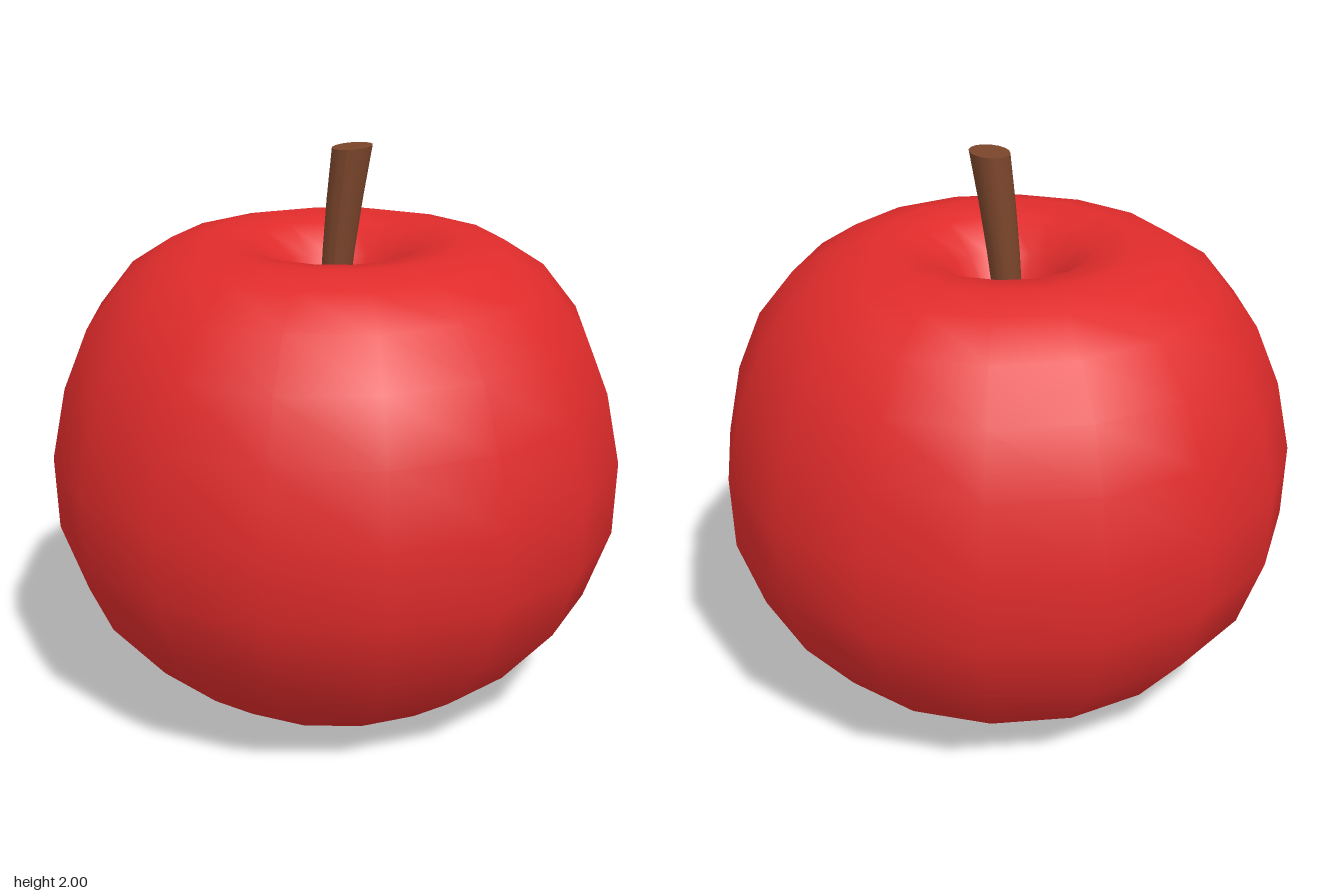
import * as THREE from 'three';

const SIDES = 16;

// Half profile [radius, height], from the bottom dimple, round the outside, into the top dimple
const PROFILE = [
  [0, 0.24], [0.09, 0.15], [0.19, 0.04], [0.33, 0], [0.51, 0.06], [0.71, 0.2],
  [0.9, 0.42], [0.99, 0.67], [1, 0.93], [0.95, 1.18], [0.865, 1.39], [0.74, 1.55],
  [0.595, 1.645], [0.45, 1.68], [0.31, 1.66], [0.19, 1.57], [0.1, 1.42], [0, 1.3],
];

function makeBody() {
  const points = PROFILE.map(([r, y]) => new THREE.Vector2(r, y));
  const body = new THREE.Mesh(
    new THREE.LatheGeometry(points, SIDES),
    new THREE.MeshStandardMaterial({ color: 0xe02b2b })
  );
  body.name = 'appleBody';
  return body;
}

// Tapered stem, leaning towards +x as it rises
function makeStem() {
  const bottom = 1.28, top = 1.995, height = top - bottom;
  const geometry = new THREE.CylinderGeometry(0.075, 0.046, height, SIDES, 4);
  geometry.translate(0, height / 2, 0);
  const p = geometry.attributes.position;
  for (let i = 0; i < p.count; i++) {
    const t = p.getY(i) / height;
    const x = p.getX(i);
    p.setX(i, x * 0.93 - 0.02 + 0.04 * t + 0.035 * t * t);
    p.setY(i, bottom + p.getY(i) + x * 0.07 * t);
  }
  geometry.computeVertexNormals();
  const stem = new THREE.Mesh(geometry, new THREE.MeshStandardMaterial({ color: 0x7a452b }));
  stem.name = 'stem';
  return stem;
}

export function createModel() {
  const apple = new THREE.Group();
  apple.name = 'apple';
  apple.add(makeBody(), makeStem());
  return apple;
}
